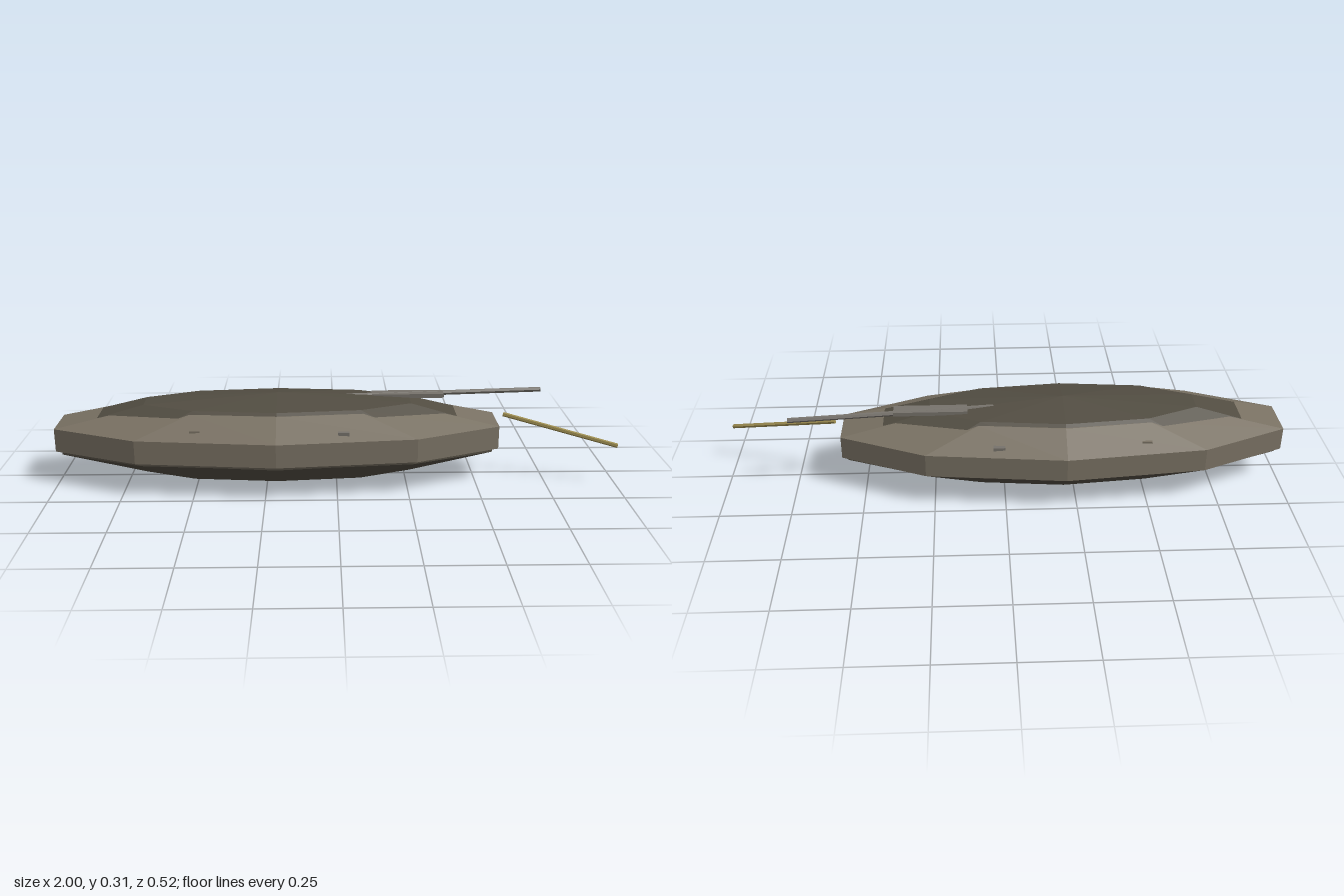
import * as THREE from 'three';

const CENTRE_X = -0.21;
const mat = (color) => new THREE.MeshStandardMaterial({ color, flatShading: true });

export function createModel() {
  const model = new THREE.Group();
  const hullMat = mat(0x7a7264), deckMat = mat(0x524d42);
  const metalMat = mat(0x77736c), brassMat = mat(0x9c8c50);

  const add = (name, geometry, material, x, y, z) => {
    const mesh = new THREE.Mesh(geometry, material);
    mesh.name = name;
    mesh.position.set(x, y, z);
    model.add(mesh);
    return mesh;
  };

  // Ten-sided, five-band faceted ellipsoid with a corner on each side of the middle
  const ellipsoid = (rx, ry, rz) =>
    new THREE.SphereGeometry(1, 10, 5).rotateY(Math.PI / 2).scale(rx, ry, rz);

  // Rod between two points
  const rod = (name, from, to, radius, material) => {
    const a = new THREE.Vector3(...from), b = new THREE.Vector3(...to);
    const dir = b.clone().sub(a);
    const mid = a.clone().add(b).multiplyScalar(0.5);
    const mesh = add(name, new THREE.CylinderGeometry(radius, radius, dir.length(), 6), material, mid.x, mid.y, mid.z);
    mesh.quaternion.setFromUnitVectors(new THREE.Vector3(0, 1, 0), dir.normalize());
  };

  // Body, with the darker upper shell breaking through its top
  add('hull', ellipsoid(0.873, 0.1355, 0.273), hullMat, CENTRE_X, 0.1385, 0);
  add('upperShell', ellipsoid(0.85, 0.157, 0.25), deckMat, CENTRE_X, 0.131, 0);

  // Small fittings on both shoulders
  for (const side of [1, -1]) {
    add('shoulderFitting', new THREE.BoxGeometry(0.04, 0.014, 0.02), metalMat, 0.022, 0.2, side * 0.203);
    add('smallFitting', new THREE.BoxGeometry(0.035, 0.01, 0.012), hullMat, -0.49, 0.205, side * 0.191);
  }

  // Mount and long rod on top
  add('rodMount', new THREE.BoxGeometry(0.26, 0.014, 0.05), metalMat, 0.26, 0.264, -0.045);
  rod('topRod', [0.0, 0.264, -0.024], [0.755, 0.264, -0.095], 0.009, metalMat);

  // Loose angled rod ahead of the tip
  rod('frontRod', [0.605, 0.2, 0], [0.998, 0.118, 0.117], 0.008, brassMat);

  return model;
}
